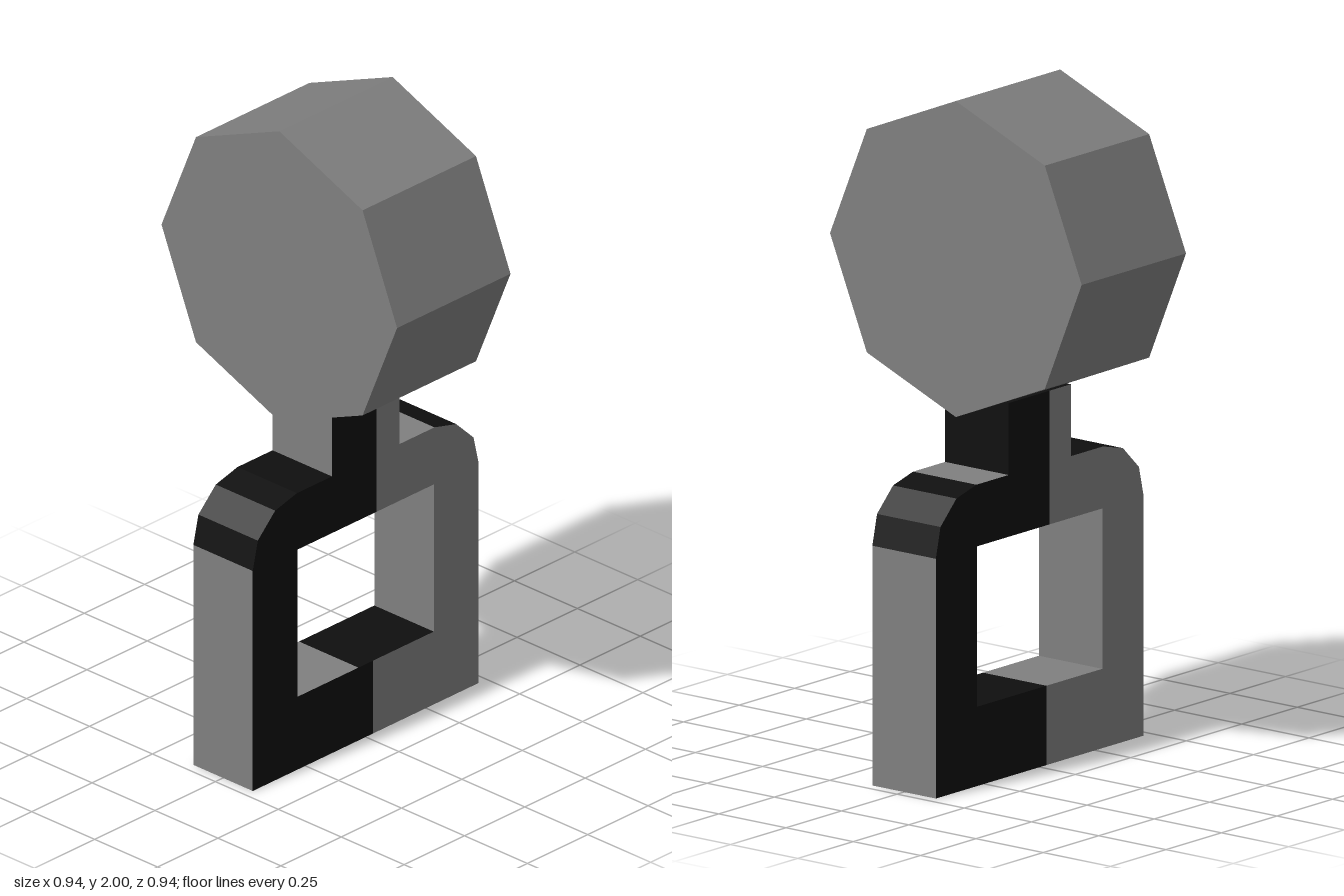
import * as THREE from 'three';

const D = 0.118; // half thickness of the handle

export function createModel() {
  const model = new THREE.Group();
  const grey = new THREE.MeshStandardMaterial({ color: 0x7f7f7f });
  grey.name = 'grey';
  const black = new THREE.MeshStandardMaterial({ color: 0x0f0f0f });
  black.name = 'black';

  const add = (parent, name, geometry, material) => {
    const mesh = new THREE.Mesh(geometry, material);
    mesh.name = name;
    parent.add(mesh);
    return mesh;
  };

  // Octagonal head lying along x
  const head = new THREE.CylinderGeometry(0.468, 0.468, 0.47, 8).toNonIndexed();
  head.computeVertexNormals();
  head.rotateZ(Math.PI / 2);
  add(model, 'head', head, grey).position.y = 1.532;

  const handle = new THREE.Group();
  handle.name = 'handle';
  model.add(handle);

  // Flat strip swept along z under a path; it faces right of the path direction
  const wall = (name, points, material, z0 = -D, z1 = D) => {
    const pos = [];
    for (let i = 0; i + 1 < points.length; i++) {
      const [a, b] = points[i], [c, d] = points[i + 1];
      pos.push(a, b, z1, a, b, z0, c, d, z0, a, b, z1, c, d, z0, c, d, z1);
    }
    const g = new THREE.BufferGeometry();
    g.setAttribute('position', new THREE.Float32BufferAttribute(pos, 3));
    g.computeVertexNormals();
    add(handle, name, g, material);
  };

  // Two-tone face, its halves meeting off centre; the back is the front turned round
  const halfFace = (s, low, high) => new THREE.ShapeGeometry(new THREE.Shape([
    [low, 0], [s * 0.468, 0], [s * 0.468, 0.71], [s * 0.447, 0.8], [s * 0.375, 0.87],
    [s * 0.285, 0.893], [s * 0.14, 0.893], [s * 0.14, 1.106], [high, 1.106], [high, 0.71],
    [s * 0.282, 0.71], [s * 0.282, 0.235], [low, 0.235],
  ].map(([x, y]) => new THREE.Vector2(x, y))));
  for (const [side, turn] of [['front', 0], ['back', Math.PI]]) {
    for (const [s, mat] of [[1, grey], [-1, black]]) {
      const g = halfFace(s, 0.03, 0.045).translate(0, 0, D).rotateY(turn);
      add(handle, `${side}Face${s > 0 ? 'Grey' : 'Black'}`, g, mat);
    }
  }

  // Outer walls and hole walls on each side
  for (const s of [1, -1]) {
    const label = s > 0 ? 'left' : 'right';
    const path = (...pts) => {
      const p = pts.map(([x, y]) => [s * x, y]);
      return s > 0 ? p : p.reverse();
    };
    wall(label + 'Side', path([0.468, 0], [0.468, 0.71]), grey);
    wall(label + 'Shoulder', path([0.468, 0.71], [0.447, 0.8], [0.375, 0.87], [0.285, 0.893]), black);
    wall(label + 'Ledge', path([0.285, 0.893], [0.14, 0.893]), s > 0 ? grey : black);
    wall(label + 'NeckSide', path([0.14, 0.893], [0.14, 1.106]), s > 0 ? black : grey);
    wall(label + 'HoleSide', path([0.282, 0.71], [0.282, 0.235]), grey);
  }

  // Hole floor and ceiling, split in two colours
  const split = -0.03;
  wall('holeFloorGrey', [[split, 0.235], [-0.282, 0.235]], grey);
  wall('holeFloorBlack', [[0.282, 0.235], [split, 0.235]], black);
  wall('holeCeilingGrey', [[-0.282, 0.71], [split, 0.71]], grey);
  wall('holeCeilingBlack', [[split, 0.71], [0.282, 0.71]], black);

  // Neck top and base
  wall('neckTop', [[0.14, 1.106], [-0.14, 1.106]], black);
  wall('baseGrey', [[-0.468, 0], [0.468, 0]], grey, 0, D);
  wall('baseBlack', [[-0.468, 0], [0.468, 0]], black, -D, 0);

  return model;
}
